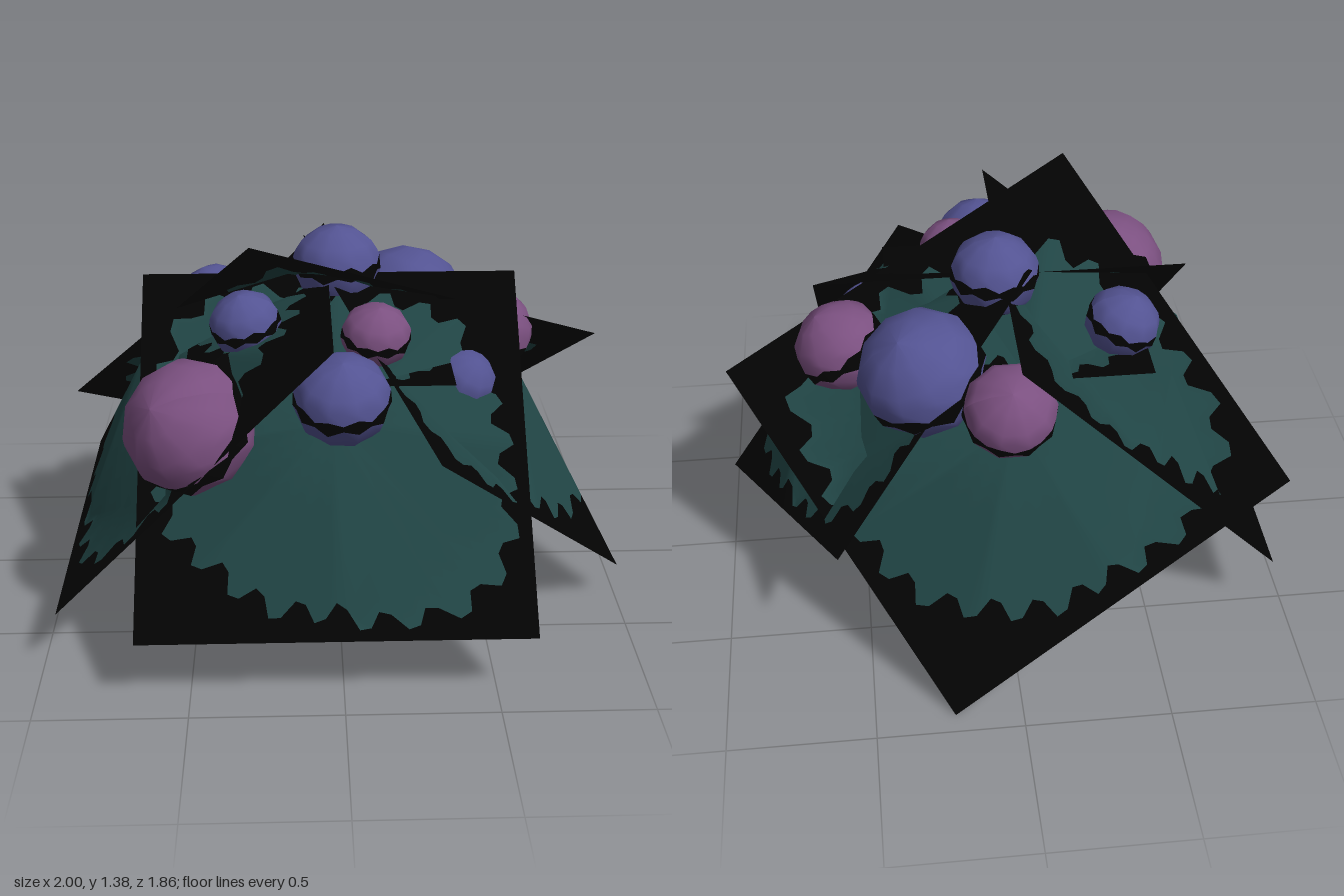
import * as THREE from 'three';

const mat = (name, color, side = THREE.FrontSide) => {
  const m = new THREE.MeshStandardMaterial({ color, side });
  m.name = name;
  return m;
};

// Leaf outline on the unit half-square: degrees, radius; longest toward the br and tl corners
const OUTLINE = [
  [0, 0.88], [20, 0.85], [45, 0.9], [70, 0.85], [90, 0.83], [110, 0.95], [135, 1.08], [155, 0.97], [180, 0.88],
  [207, 0.93], [229, 0.89], [250, 0.9], [267, 0.86], [291, 0.96], [309, 1.06], [325, 1.05], [345, 0.92], [360, 0.88],
];
function outlineRadius(deg) {
  let i = 1;
  while (OUTLINE[i][0] < deg) i++;
  const [a0, r0] = OUTLINE[i - 1], [a1, r1] = OUTLINE[i];
  return r0 + (r1 - r0) * (deg - a0) / (a1 - a0);
}

// Square card folded up to a peak along its bl-tr diagonal; the other two corners stay flat.
// bl, br and tr are three corners, seen from outside.
function leafCard(name, bl, br, tr, rise, materials) {
  const [A, B, C] = [bl, br, tr].map((p) => new THREE.Vector3(...p));
  const U = B.clone().sub(A).multiplyScalar(0.5);
  const V = C.clone().sub(B).multiplyScalar(0.5);
  const mid = A.clone().add(C).multiplyScalar(0.5);
  const N = U.clone().cross(V).normalize().multiplyScalar(rise);
  const n = 104, pos = [];
  const put = (u, v) => {
    const a = Math.abs(u), b = Math.abs(v);
    const h = u * v > 0 ? 1 - Math.max(a, b) : Math.max(0, 1 - a - b);
    pos.push(...mid.clone().addScaledVector(U, u).addScaledVector(V, v).addScaledVector(N, h).toArray());
  };
  put(0, 0);
  const teeth = [0.05, 0.035, -0.05, -0.035];
  for (let i = 0; i < n; i++) {
    const a = (i / n) * Math.PI * 2, c = Math.cos(a), s = Math.sin(a);
    const edge = 1 / Math.max(Math.abs(c), Math.abs(s));
    const r = Math.min(outlineRadius((i / n) * 360) + teeth[i % 4], edge * 0.96);
    // crease of the flat corners
    const crease = c * s < 0 ? 1 / (Math.abs(c) + Math.abs(s)) : r / 2;
    for (const k of [Math.min(crease, r), r, Math.max(crease, r), edge]) put(c * k, s * k);
  }
  const leaf = [], border = [];
  for (let i = 0; i < n; i++) {
    const a = 1 + 4 * i, b = 1 + 4 * ((i + 1) % n);
    leaf.push(0, a, b);
    for (let k = 0; k < 3; k++) {
      (k === 0 ? leaf : border).push(a + k, a + k + 1, b + k + 1, a + k, b + k + 1, b + k);
    }
  }
  const g = new THREE.BufferGeometry();
  g.setAttribute('position', new THREE.Float32BufferAttribute(pos, 3));
  g.setIndex([...leaf, ...border]);
  g.addGroup(0, leaf.length, 0);
  g.addGroup(leaf.length, border.length, 1);
  g.computeVertexNormals();
  const mesh = new THREE.Mesh(g, materials);
  mesh.name = name;
  return mesh;
}

// Berry, open below, with an uneven dark band and a dark rim, leaning away from the middle
function berry(name, [x, y, z, r, tilt], skin, dark) {
  const group = new THREE.Group();
  group.name = name;
  const seg = 20;
  const cuts = [[0], [0.45], [0.9], [1.15], [1.3, 1.44, 1.34, 1.48], [1.66, 1.58, 1.72, 1.6], [2.0], [2.3, 2.42, 2.34, 2.4], [2.56]];
  const part = (partName, from, to, material) => {
    const pos = [], idx = [];
    for (let j = from; j <= to; j++) {
      for (let i = 0; i <= seg; i++) {
        const t = cuts[j][(i % seg) % cuts[j].length], a = (i / seg) * Math.PI * 2;
        // ten-sided rounding
        const k = i % 2 ? Math.cos(Math.PI / 10) : 1;
        pos.push(r * Math.sin(t) * Math.cos(a) * k, r * 0.93 * Math.cos(t), r * Math.sin(t) * Math.sin(a) * k);
      }
    }
    for (let j = 0; j < to - from; j++) {
      for (let i = 0; i < seg; i++) {
        const a = j * (seg + 1) + i, b = a + seg + 1;
        idx.push(a, a + 1, b, a + 1, b + 1, b);
      }
    }
    const g = new THREE.BufferGeometry();
    g.setAttribute('position', new THREE.Float32BufferAttribute(pos, 3));
    g.setIndex(idx);
    g.computeVertexNormals();
    const mesh = new THREE.Mesh(g, material);
    mesh.name = partName;
    group.add(mesh);
  };
  part('berryTop', 0, 4, skin);
  part('berryBand', 4, 5, dark);
  part('berryBottom', 5, 7, skin);
  part('berryRim', 7, 8, dark);
  group.position.set(x, y, z);
  const lean = new THREE.Vector3(x, 0, z).normalize().multiplyScalar(tilt);
  lean.y = 1;
  group.quaternion.setFromUnitVectors(new THREE.Vector3(0, 1, 0), lean.normalize());
  return group;
}

export function createModel() {
  const model = new THREE.Group();
  model.name = 'berryCluster';
  const teal = mat('leafTeal', 0x204444, THREE.DoubleSide);
  const black = mat('borderBlack', 0x030303, THREE.DoubleSide);
  const blue = mat('berryBlue', 0x535392);
  const pink = mat('berryPink', 0x7b5080);

  // Four sloping leaves and a flat one on top
  const leaves = [
    ['frontLeaf', [-0.67, 0.235, 0.93], [0.62, 0.235, 0.93], [0.62, 1.15, 0.02], 0.265],
    ['rightLeaf', [-0.94, 0.235, -0.55], [-0.94, 0.235, 0.745], [-0.03, 1.15, 0.745], 0.265],
    ['leftLeaf', [1.0, 0.13, 0.31], [0.59, 0.54, -0.69], [-0.115, 1.245, -0.11], 0.24],
    ['backLeaf', [0.23, 0.005, -0.93], [-1.0, 0.51, -0.43], [-0.29, 1.38, 0.43], 0.27],
    ['topLeaf', [-0.51, 0.95, 0.55], [0.37, 0.95, 0.55], [0.37, 0.95, -0.33], 0.18],
  ];
  for (const [name, bl, br, tr, rise] of leaves) model.add(leafCard(name, bl, br, tr, rise, [teal, black]));

  // Berries: x, y, z, radius, lean
  const blues = [
    [0, 1.17, 0, 0.155, 0], [0, 0.935, 0.61, 0.16, 0.33], [0.27, 0.94, -0.23, 0.225, 0.6],
    [-0.31, 1.08, 0.32, 0.12, 0.3], [-0.43, 1.01, -0.11, 0.132, 0.4], [0.42, 0.87, 0.32, 0.112, 0.7],
  ];
  const pinks = [
    [-0.49, 0.815, 0.55, 0.225, 1.4], [0.54, 0.92, -0.02, 0.165, 0.65],
    [0, 0.95, -0.48, 0.16, 0.6], [0.12, 1.05, 0.36, 0.118, 0.27],
  ];
  blues.forEach((b) => model.add(berry('blueBerry', b, blue, black)));
  pinks.forEach((b) => model.add(berry('pinkBerry', b, pink, black)));
  return model;
}
